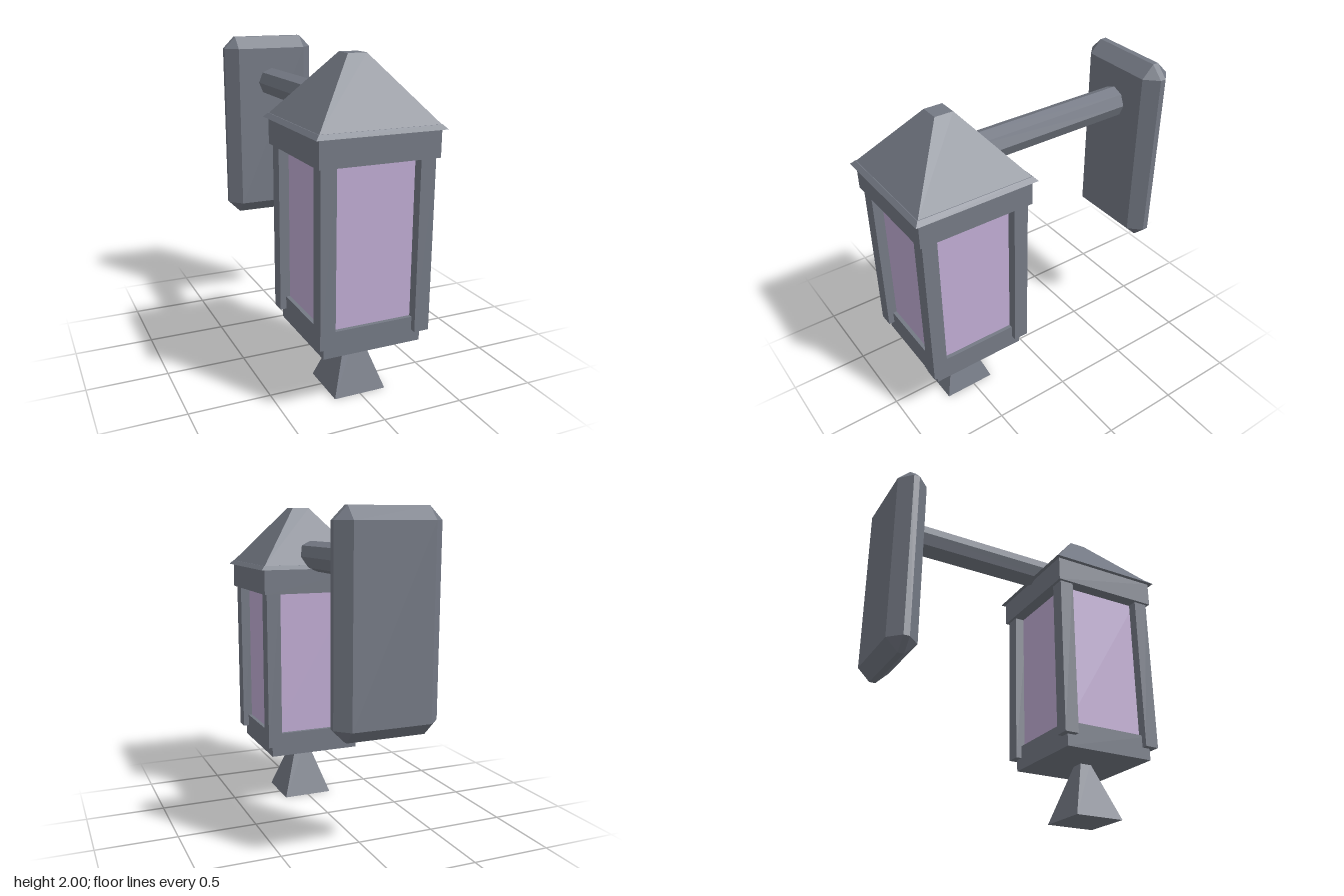
import * as THREE from 'three';
import { ConvexGeometry } from 'three/addons/geometries/ConvexGeometry.js';

export function createModel() {
  const model = new THREE.Group();
  model.name = 'wallLantern';

  const metal = new THREE.MeshStandardMaterial({ color: 0x747984, flatShading: true });
  metal.name = 'slate metal';
  const glass = new THREE.MeshStandardMaterial({ color: 0xbfabd2, flatShading: true });
  glass.name = 'lilac glass';

  const add = (parent, name, geometry, material, x = 0, y = 0, z = 0) => {
    const mesh = new THREE.Mesh(geometry, material);
    mesh.name = name;
    mesh.position.set(x, y, z);
    parent.add(mesh);
    return mesh;
  };

  // Square block or frustum between two heights, given its half widths
  const square = (parent, name, y0, y1, half0, half1 = half0, material = metal) => {
    const geometry = new THREE.CylinderGeometry(half1 * Math.SQRT2, half0 * Math.SQRT2, y1 - y0, 4);
    geometry.rotateY(Math.PI / 4);
    return add(parent, name, geometry, material, 0, (y0 + y1) / 2, 0);
  };

  // Lantern body
  const lantern = new THREE.Group();
  lantern.name = 'lantern';
  lantern.position.z = 0.53;
  model.add(lantern);

  square(lantern, 'finial', 0, 0.37, 0.165, 0.036);
  square(lantern, 'base', 0.36, 0.515, 0.305);
  square(lantern, 'glassPanes', 0.515, 1.455, 0.28, 0.28, glass);
  square(lantern, 'collar', 1.455, 1.612, 0.36);
  square(lantern, 'roofRim', 1.612, 1.637, 0.385, 0.361);
  square(lantern, 'roof', 1.637, 2, 0.357, 0.057);

  // Corner posts
  for (const sx of [-1, 1]) {
    for (const sz of [-1, 1]) {
      add(lantern, 'cornerPost', new THREE.BoxGeometry(0.092, 1.06, 0.092), metal,
        sx * 0.296, 0.965, sz * 0.296);
    }
  }

  // Octagonal arm from the roof to the wall plate
  const arm = new THREE.CylinderGeometry(0.097, 0.097, 1.16, 8);
  arm.rotateX(Math.PI / 2);
  add(model, 'arm', arm, metal, 0, 1.69, -0.18);

  // Wall plate: a box with every edge and corner bevelled
  const hx = 0.315, hy = 0.625, hz = 0.096, bevel = 0.077;
  const points = [];
  for (const sx of [-1, 1]) {
    for (const sy of [-1, 1]) {
      for (const sz of [-1, 1]) {
        points.push(
          new THREE.Vector3(sx * hx, sy * (hy - bevel), sz * (hz - bevel)),
          new THREE.Vector3(sx * (hx - bevel), sy * hy, sz * (hz - bevel)),
          new THREE.Vector3(sx * (hx - bevel), sy * (hy - bevel), sz * hz),
        );
      }
    }
  }
  add(model, 'wallPlate', new ConvexGeometry(points), metal, 0, 1.375, -0.819);

  return model;
}
